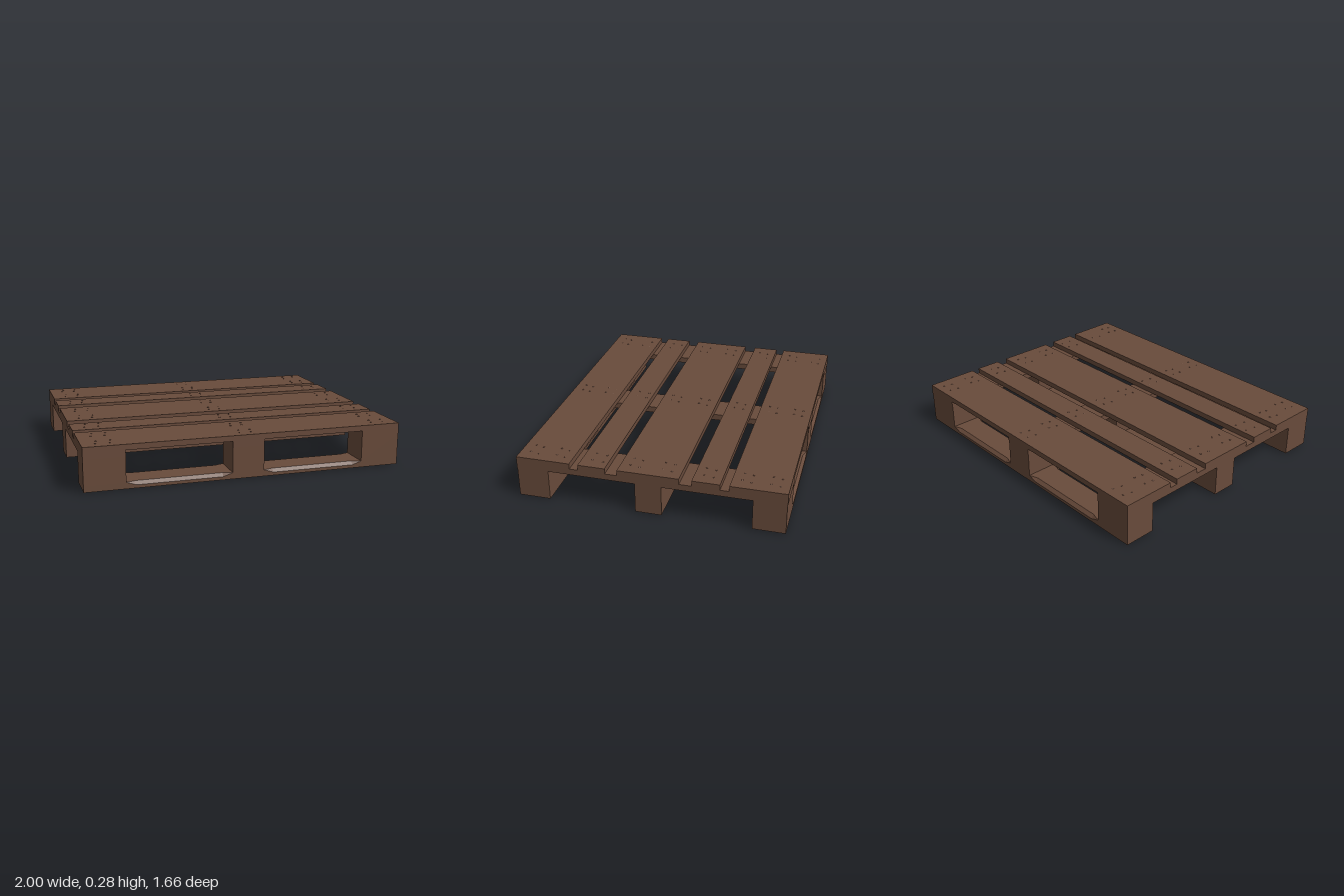
import * as THREE from 'three';

const BOTTOM = 0.04, STRINGER = 0.195, DECK = 0.235, TOP = 0.27;

// Runner board along x whose upper edges are bevelled between the blocks
function runnerGeometry(width) {
  const w = width / 2, b = 0.02;
  const stations = [[-1, 0], [-0.75, 0], [-0.69, b], [-0.16, b], [-0.1, 0],
    [0.1, 0], [0.16, b], [0.69, b], [0.75, 0], [1, 0]];
  const positions = [], index = [], n = 6;
  for (const [x, c] of stations) {
    positions.push(x, 0, -w, x, 0, w, x, BOTTOM - c, w,
      x, BOTTOM, w - c, x, BOTTOM, -w + c, x, BOTTOM - c, -w);
  }
  for (let s = 0; s < stations.length - 1; s++) {
    for (let i = 0; i < n; i++) {
      const a = s * n + i, d = s * n + (i + 1) % n;
      index.push(a, a + n, d, d, a + n, d + n);
    }
  }
  const last = (stations.length - 1) * n;
  for (let i = 1; i < n - 1; i++) {
    index.push(0, i, i + 1, last, last + i + 1, last + i);
  }
  const indexed = new THREE.BufferGeometry();
  indexed.setAttribute('position', new THREE.Float32BufferAttribute(positions, 3));
  indexed.setIndex(index);
  const geometry = indexed.toNonIndexed();
  geometry.computeVertexNormals();
  return geometry;
}

export function createModel() {
  const pallet = new THREE.Group();
  pallet.name = 'pallet';
  const wood = new THREE.MeshStandardMaterial({ color: 0x694b3b });
  wood.name = 'brown wood';

  const add = (name, geometry, x, y, z) => {
    const mesh = new THREE.Mesh(geometry, wood);
    mesh.name = name;
    mesh.position.set(x, y, z);
    pallet.add(mesh);
    return mesh;
  };
  const box = (name, x, z, w, d, y0, y1) =>
    add(name, new THREE.BoxGeometry(w, y1 - y0, d), x, (y0 + y1) / 2, z);

  const columns = [[-0.875, 0.25], [0, 0.2], [0.875, 0.25]]; // centre x, width
  const rows = [[-0.73, 0.2], [0, 0.164], [0.73, 0.2]]; // centre z, depth

  // Deck boards
  for (const [z, d] of [[-0.661, 0.342], [-0.351, 0.17], [0, 0.38], [0.351, 0.17], [0.661, 0.342]]) {
    box('deckBoard', 0, z, 2, d, DECK, TOP);
  }
  // Stringer boards under the deck
  for (const [x, w] of columns) box('stringerBoard', x, 0, w, 1.664, STRINGER, DECK);
  // Bottom runners with a block under each stringer
  for (const [z, d] of rows) {
    add('bottomRunner', runnerGeometry(d), 0, 0, z);
    for (const [x, w] of columns) box('block', x, z, w, d, BOTTOM, STRINGER);
  }

  // Nail heads, in slightly staggered pairs
  const nail = new THREE.SphereGeometry(0.006, 8, 3, 0, Math.PI * 2, 0, Math.PI / 2);
  nail.scale(1, 0.5, 1);
  const nailRow = (z, y, stagger) => {
    for (const x of [-0.91, -0.825, -0.035, 0.037, 0.842, 0.922]) {
      const mesh = add('nail', nail, x + stagger, y, z);
      if (y === 0) mesh.rotation.x = Math.PI;
    }
  };
  [-0.775, -0.72, -0.605, -0.55, -0.38, -0.32, -0.13, -0.07,
    0.07, 0.13, 0.3, 0.37, 0.545, 0.6, 0.715, 0.77].forEach((z, i) => {
    nailRow(z, TOP, i % 2 ? -0.006 : 0.006);
  });
  [-0.77, -0.7, -0.03, 0.03, 0.7, 0.77].forEach((z, i) => {
    nailRow(z, 0, i % 2 ? -0.006 : 0.006);
  });
  return pallet;
}
